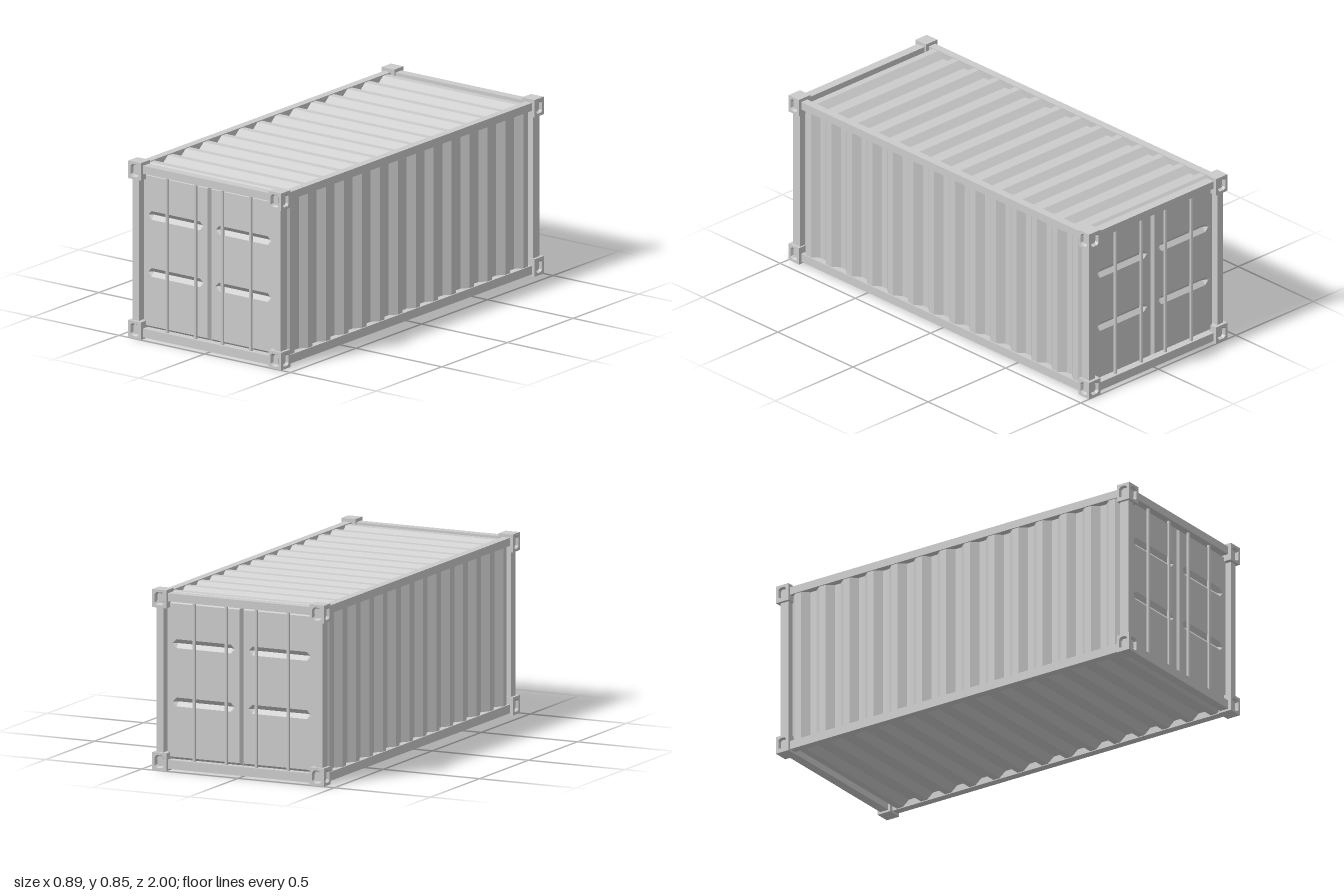
import * as THREE from 'three';
import { mergeGeometries } from 'three/addons/utils/BufferGeometryUtils.js';

const mat = new THREE.MeshStandardMaterial({ color: 0xcccccc, flatShading: true });

function add(parent, name, geo, x = 0, y = 0, z = 0) {
  const mesh = new THREE.Mesh(geo, mat);
  mesh.name = name;
  mesh.position.set(x, y, z);
  parent.add(mesh);
  return mesh;
}

// Box from its lower and upper limits
function span(parent, name, x0, x1, y0, y1, z0, z1) {
  return add(parent, name, new THREE.BoxGeometry(x1 - x0, y1 - y0, z1 - z0),
    (x0 + x1) / 2, (y0 + y1) / 2, (z0 + z1) / 2);
}

// Joins counter-clockwise rings of [x, y, z] points, outermost first
function loft(rings, cap) {
  const pos = [];
  const n = rings[0].length;
  for (let r = 0; r + 1 < rings.length; r++) {
    const a = rings[r], b = rings[r + 1];
    for (let i = 0; i < n; i++) {
      const j = (i + 1) % n;
      pos.push(...a[i], ...a[j], ...b[j], ...a[i], ...b[j], ...b[i]);
    }
  }
  const last = rings[rings.length - 1];
  if (cap) for (let i = 1; i + 1 < n; i++) pos.push(...last[0], ...last[i], ...last[i + 1]);
  const geo = new THREE.BufferGeometry();
  geo.setAttribute('position', new THREE.Float32BufferAttribute(pos, 3));
  geo.computeVertexNormals();
  return geo;
}

const rect = (x0, x1, y0, y1) => [[x0, y0], [x1, y0], [x1, y1], [x0, y1]];
const atZ = (pts, z) => pts.map(([x, y]) => [x, y, z]);

// Octagon with half sizes w, h and corner cut c; c = 0 gives a rectangle
const octagon = (w, h, c, z) => [
  [-w + c, -h, z], [w - c, -h, z], [w, -h + c, z], [w, h - c, z],
  [w - c, h, z], [-w + c, h, z], [-w, h - c, z], [-w, -h + c, z]];

// Trapezoidal sheet: waves run along local x, height in y, extruded along z
function corrugated(depth, width) {
  const pitch = 0.1367, waves = 14, q = pitch / 4, top = [];
  for (let i = 0; i < waves; i++) {
    const c = (i - (waves - 1) / 2) * pitch;
    top.push([c - 1.5 * q, 0], [c - q / 2, depth], [c + q / 2, depth], [c + 1.5 * q, 0]);
  }
  const under = top.map(([x, y]) => [x, y - 0.008]).reverse();
  const shape = new THREE.Shape([...top, ...under].map(p => new THREE.Vector2(...p)));
  return new THREE.ExtrudeGeometry(shape, { depth: width, bevelEnabled: false });
}

// Corner casting with pockets in its end and side faces
function cornerCasting(sx, sz) {
  const w = 0.037, h = 0.0425, d = 0.035;
  const box = new THREE.BoxGeometry(2 * w, 2 * h, 2 * d);
  const open = [sx > 0 ? 0 : 1, sz > 0 ? 4 : 5];
  box.setIndex([...box.index.array].filter((_, i) => !open.includes(Math.floor(i / 6))));
  const pocket = (half, out) => loft([
    octagon(half, h, 0, out), octagon(half - 0.013, 0.03, 0.01, out),
    octagon(half - 0.019, 0.022, 0.007, out - 0.018)], true);
  const shell = box.toNonIndexed();
  shell.deleteAttribute('uv');
  return mergeGeometries([
    shell,
    pocket(w, d).rotateY(sz > 0 ? 0 : Math.PI),
    pocket(d, w).rotateY(sx * Math.PI / 2)]);
}

// Door leaf with chamfered border and two V-shaped pressings
function doorLeaf(side) {
  const back = 0.943, front = 0.962;
  const outer = side > 0 ? rect(0, 0.397, 0.05, 0.802) : rect(-0.397, 0, 0.05, 0.802);
  const inner = side > 0 ? rect(0.012, 0.383, 0.064, 0.788) : rect(-0.383, -0.012, 0.064, 0.788);
  const face = new THREE.Shape(inner.map(p => new THREE.Vector2(...p)));
  const parts = [loft([atZ(outer, back), atZ(inner, front)])];
  const cx = side * 0.1975, hw = 0.1625, hh = 0.021, tip = 0.021;
  for (const cy of [0.324, 0.599]) {
    const a = cx - hw, b = cx + hw;
    const rim = [[a, cy], [a + tip, cy - hh], [b - tip, cy - hh],
      [b, cy], [b - tip, cy + hh], [a + tip, cy + hh]];
    const l = [a + tip, cy], r = [b - tip, cy];
    face.holes.push(new THREE.Path(rim.map(p => new THREE.Vector2(...p))));
    parts.push(loft([atZ(rim, front), atZ([l, l, r, r, r, l], front - 0.018)]));
  }
  const sheet = new THREE.ShapeGeometry(face).toNonIndexed();
  sheet.deleteAttribute('uv');
  parts.push(sheet.translate(0, 0, front));
  return mergeGeometries(parts);
}

// One end: doors, locking rods, posts and cross rails
function doorEnd() {
  const end = new THREE.Group();
  end.name = 'doorEnd';
  for (const s of [-1, 1]) {
    add(end, 'doorLeaf', doorLeaf(s));
    for (const x of [0.078, 0.244])
      add(end, 'lockingRod', new THREE.CylinderGeometry(0.0085, 0.0085, 0.748, 8), s * x, 0.426, 0.966);
    const [x0, x1] = s > 0 ? [0.395, 0.432] : [-0.432, -0.395];
    span(end, 'cornerPost', x0, x1, 0.05, 0.80, 0.938, 0.985);
  }
  span(end, 'bottomCrossRail', -0.42, 0.42, 0.01, 0.052, 0.94, 0.985);
  span(end, 'topCrossRail', -0.42, 0.42, 0.80, 0.838, 0.94, 0.985);
  return end;
}

export function createModel() {
  const model = new THREE.Group();
  model.name = 'shippingContainer';

  // Door ends, the same at front and back
  for (const turn of [0, Math.PI]) {
    const end = doorEnd();
    end.rotation.y = turn;
    model.add(end);
  }

  // Long rails and corrugated side walls
  const wall = corrugated(0.028, 0.76);
  wall.applyMatrix4(new THREE.Matrix4().makeBasis(
    new THREE.Vector3(0, 0, 1), new THREE.Vector3(1, 0, 0), new THREE.Vector3(0, 1, 0)));
  wall.translate(0.398, 0.045, 0);
  for (const s of [-1, 1]) {
    const [x0, x1] = s > 0 ? [0.393, 0.432] : [-0.432, -0.393];
    span(model, 'bottomSideRail', x0, x1, 0.01, 0.052, -0.984, 0.984);
    span(model, 'topSideRail', x0, x1, 0.80, 0.838, -0.984, 0.984);
    add(model, 'sideWall', wall).rotation.y = s > 0 ? 0 : Math.PI;
  }

  // Corrugated roof and floor
  const deck = corrugated(0.028, 0.79);
  deck.applyMatrix4(new THREE.Matrix4().makeBasis(
    new THREE.Vector3(0, 0, 1), new THREE.Vector3(0, 1, 0), new THREE.Vector3(-1, 0, 0)));
  deck.translate(0.395, 0, 0);
  add(model, 'roof', deck, 0, 0.806, 0);
  add(model, 'floor', deck, 0, 0.042, 0).rotation.z = Math.PI;

  // Eight corner castings
  for (const sx of [-1, 1]) for (const sz of [-1, 1]) for (const y of [0.0425, 0.8115])
    add(model, 'cornerCasting', cornerCasting(sx, sz), sx * 0.409, y, sz * 0.965);

  return model;
}
